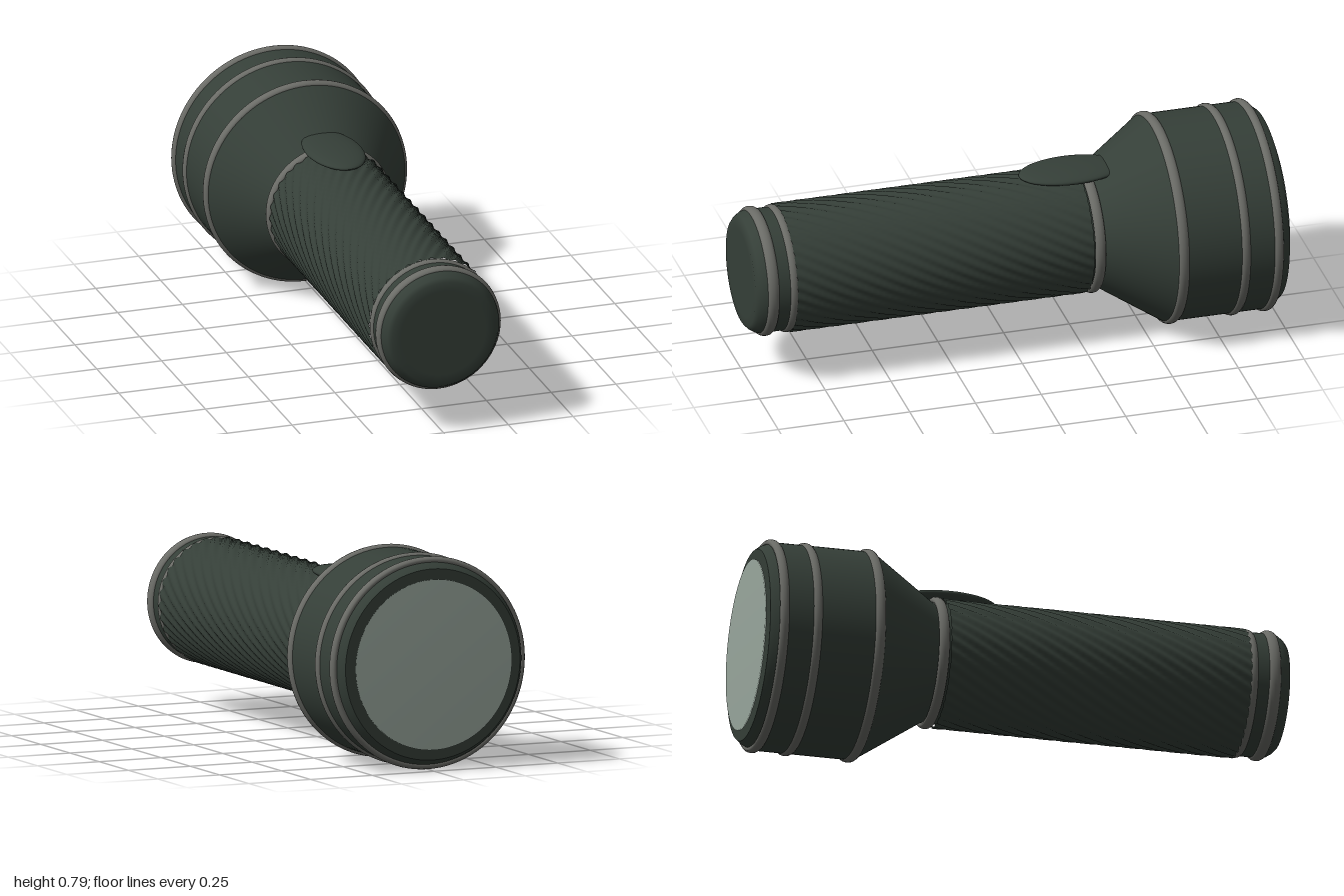
import * as THREE from 'three';
import { mergeVertices } from 'three/addons/utils/BufferGeometryUtils.js';

const AXIS_Y = 0.393;

export function createModel() {
  const body = new THREE.MeshStandardMaterial({ color: 0x353f38 });
  body.name = 'darkGreenCasing';
  const trim = new THREE.MeshStandardMaterial({ color: 0x6b6c67 });
  trim.name = 'greyTrim';
  const glass = new THREE.MeshStandardMaterial({ color: 0x9aa89e });
  glass.name = 'paleLens';

  const group = new THREE.Group();
  group.name = 'flashlight';

  const add = (name, geometry, material, y = AXIS_Y, z = 0) => {
    const mesh = new THREE.Mesh(geometry, material);
    mesh.name = name;
    mesh.position.set(0, y, z);
    group.add(mesh);
    return mesh;
  };

  // Turned part along z, from [radius, z] pairs with z rising
  const turned = (name, profile, material) => {
    const geometry = new THREE.LatheGeometry(profile.map(([r, z]) => new THREE.Vector2(r, z)), 96);
    return add(name, geometry.rotateX(Math.PI / 2), material);
  };

  // Head: bezel, barrel and cone
  turned('bezelFace', [[0, -0.988], [0.353, -0.988]], body);
  turned('bezelEdge', [[0.353, -0.988], [0.366, -0.972], [0.378, -0.945]], body);
  turned('headBarrel', [[0.383, -0.95], [0.383, -0.57]], body);
  turned('headCone', [[0.383, -0.565], [0.222, -0.325]], body);
  turned('neck', [[0.222, -0.335], [0.222, -0.26]], body);

  // Lens with a softly rounded rim
  turned('lens', [[0, -1], [0.315, -1], [0.315, -0.994], [0, -0.994]], glass);

  // Grip: a tube with twisted ridges
  const grip = new THREE.CylinderGeometry(0.235, 0.235, 1.13, 256, 48, true).rotateX(Math.PI / 2);
  grip.deleteAttribute('uv');
  grip.deleteAttribute('normal');
  const p = grip.attributes.position;
  for (let i = 0; i < p.count; i++) {
    const z = p.getZ(i);
    const angle = Math.atan2(p.getY(i), p.getX(i));
    const r = 0.235 + 0.004 * Math.cos(32 * (angle - 2.4 * z));
    p.setXY(i, r * Math.cos(angle), r * Math.sin(angle));
  }
  const gripSmooth = mergeVertices(grip, 1e-4);
  gripSmooth.computeVertexNormals();
  add('grip', gripSmooth, body, AXIS_Y, 0.285);

  // Tail cap with a rounded end
  turned('tailBarrel', [[0.228, 0.83], [0.228, 0.95]], body);
  turned('tailCap', [[0.231, 0.945], [0.225, 0.968], [0.212, 0.988], [0.198, 1], [0.165, 1], [0, 1]], body);

  // Raised trim rings: [name, outer radius, z, half width]
  const rings = [
    ['frontHeadRing', 0.393, -0.94, 0.018],
    ['middleHeadRing', 0.392, -0.815, 0.018],
    ['rearHeadRing', 0.393, -0.58, 0.02],
    ['neckRing', 0.243, -0.305, 0.02],
    ['gripEndRing', 0.236, 0.858, 0.018],
    ['tailRing', 0.24, 0.938, 0.022],
  ];
  for (const [name, radius, z, half] of rings) {
    const ring = add(name, new THREE.TorusGeometry(radius - 0.014, 0.014, 12, 96), trim, AXIS_Y, z);
    ring.scale.z = half / 0.014;
  }

  // Thumb switch, partly sunk into the neck
  const button = add('switchButton', new THREE.SphereGeometry(1, 40, 24), body, 0.636, -0.253);
  button.scale.set(0.105, 0.025, 0.195);

  return group;
}
